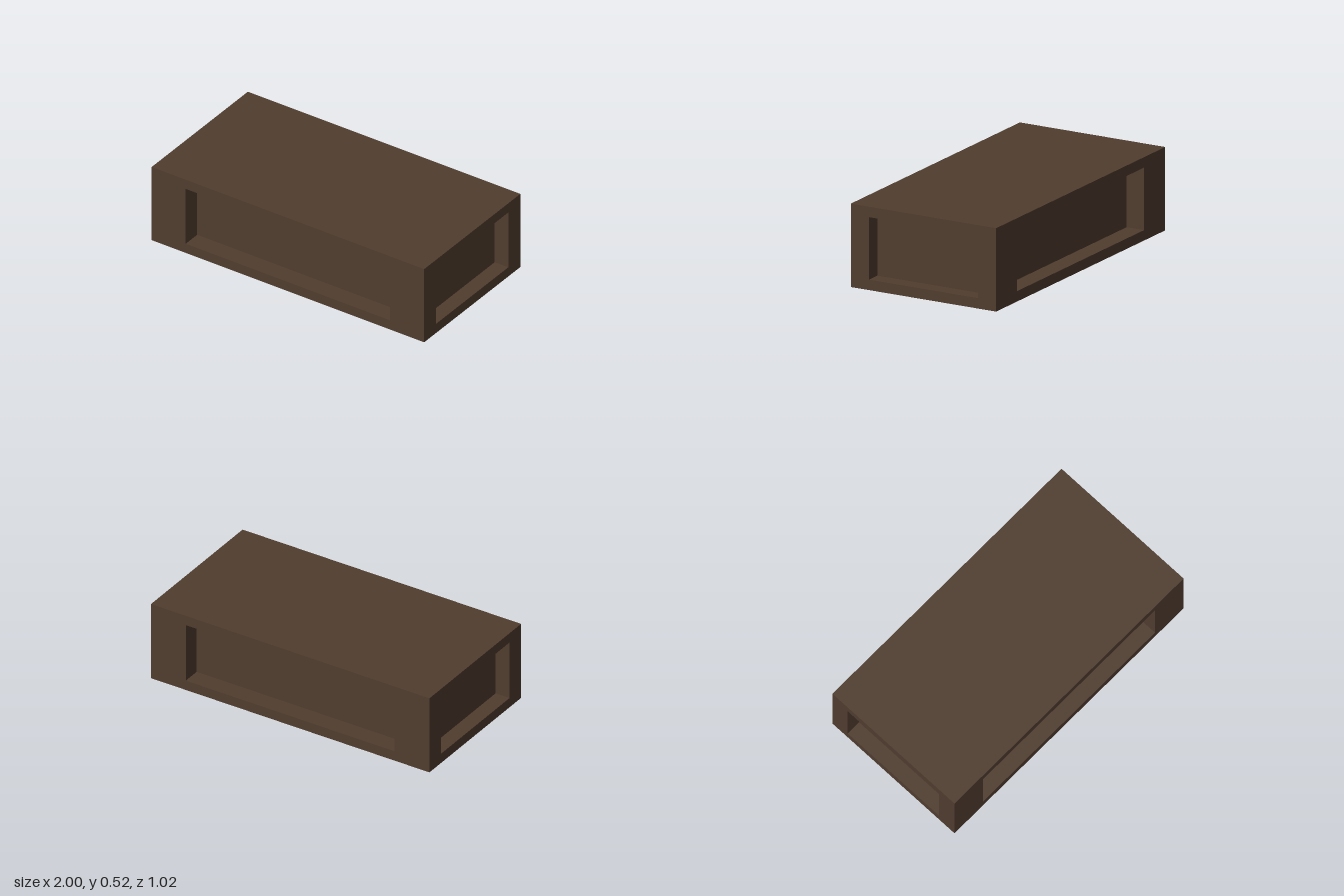
import * as THREE from 'three';

const W = 2, H = 0.525, D = 1.02;   // outer size
const RATIO = 0.75;                 // recess size relative to its side

const material = new THREE.MeshStandardMaterial({ color: 0x503c2e, flatShading: true });

// Closed rectangle outline centred on the origin
function rectangle(PathType, w, h) {
  const x = w / 2, y = h / 2;
  const path = new PathType();
  path.moveTo(-x, -y);
  path.lineTo(x, -y);
  path.lineTo(x, y);
  path.lineTo(-x, y);
  path.closePath();
  return path;
}

// Inward-facing box without its front: floor, ceiling, two cheeks and back
function recessGeometry(w, h, depth) {
  const g = new THREE.BoxGeometry(w, h, depth).translate(0, 0, -depth / 2);
  const old = Array.from(g.index.array);
  const flipped = [];
  for (let i = 0; i < old.length; i += 3) {
    if (i >= 24 && i < 30) continue; // skip the open front (+z)
    flipped.push(old[i], old[i + 2], old[i + 1]);
  }
  g.setIndex(flipped);
  g.clearGroups();
  const normals = g.attributes.normal;
  for (let i = 0; i < normals.count; i++) {
    normals.setXYZ(i, -normals.getX(i), -normals.getY(i), -normals.getZ(i));
  }
  return g;
}

function addMesh(parent, name, geometry) {
  const mesh = new THREE.Mesh(geometry, material);
  mesh.name = name;
  parent.add(mesh);
  return mesh;
}

// One side of the block: a flat frame around a sunken panel
function recessedSide(name, width, depth) {
  const side = new THREE.Group();
  side.name = name;
  const outline = rectangle(THREE.Shape, width, H);
  outline.holes.push(rectangle(THREE.Path, width * RATIO, H * RATIO));
  addMesh(side, name + 'Frame', new THREE.ShapeGeometry(outline));
  addMesh(side, name + 'Recess', recessGeometry(width * RATIO, H * RATIO, depth));
  return side;
}

export function createModel() {
  const model = new THREE.Group();
  model.name = 'recessedBlock';

  // Four recessed sides, turned around the vertical axis
  const sides = [
    ['front', W, D / 2, 0.122],
    ['left', D, W / 2, 0.1],
    ['back', W, D / 2, 0.122],
    ['right', D, W / 2, 0.1],
  ];
  sides.forEach(([name, width, distance, depth], i) => {
    const angle = i * Math.PI / 2;
    const side = recessedSide(name, width, depth);
    side.rotation.y = angle;
    side.position.set(Math.sin(angle) * distance, H / 2, Math.cos(angle) * distance);
    model.add(side);
  });

  // Plain top and bottom
  const top = addMesh(model, 'top', new THREE.PlaneGeometry(W, D));
  top.rotation.x = -Math.PI / 2;
  top.position.y = H;
  const bottom = addMesh(model, 'bottom', new THREE.PlaneGeometry(W, D));
  bottom.rotation.x = Math.PI / 2;

  return model;
}
